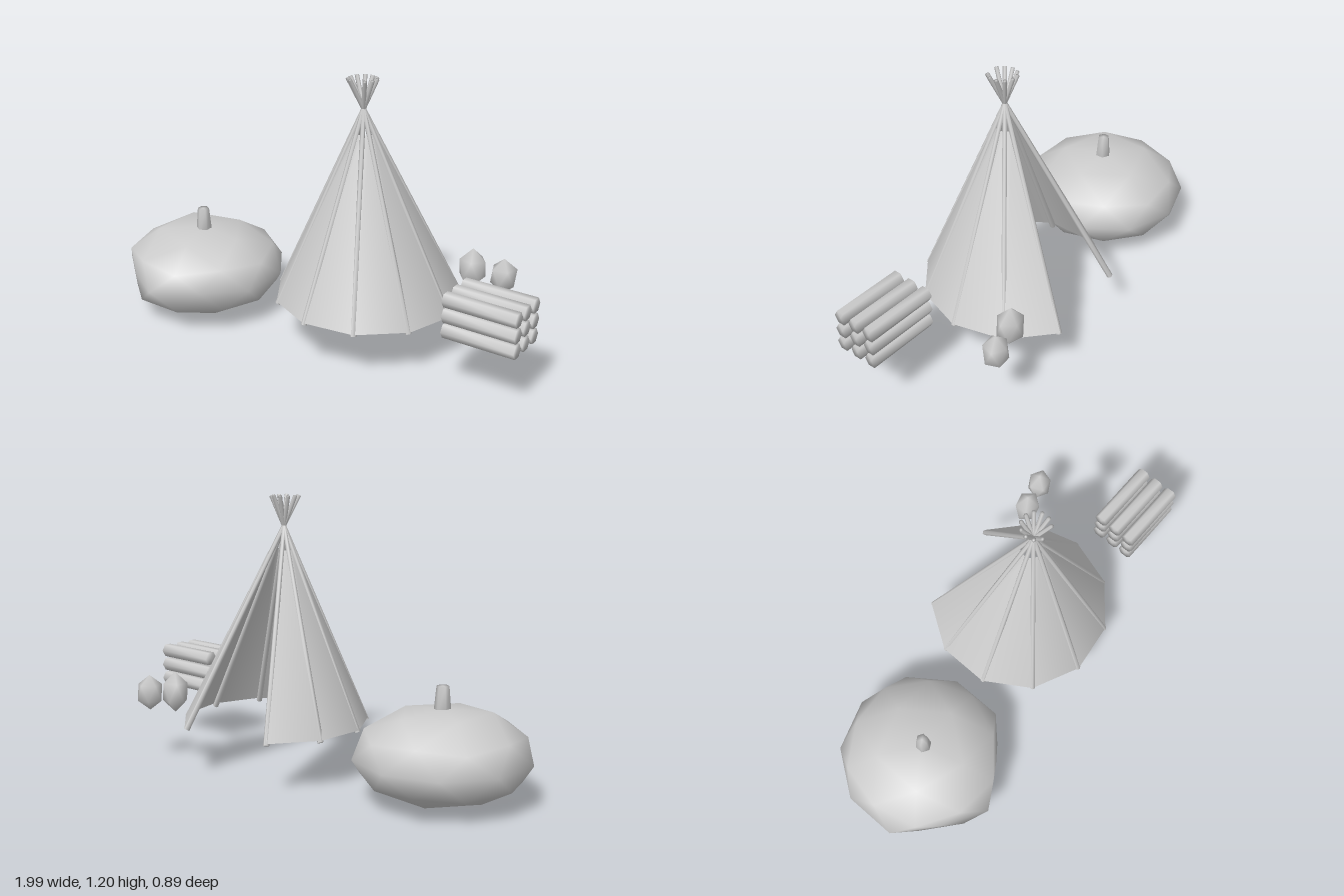
import * as THREE from 'three';
import { mergeVertices } from 'three/addons/utils/BufferGeometryUtils.js';

const clay = new THREE.MeshStandardMaterial({ color: 0xcccccc, side: THREE.DoubleSide });
clay.name = 'plain grey';

// Weld corners and average the normals for soft shading
function soften(geometry) {
  geometry.deleteAttribute('normal');
  geometry.deleteAttribute('uv');
  const welded = mergeVertices(geometry, 1e-4);
  welded.computeVertexNormals();
  return welded;
}

function part(parent, name, geometry, x = 0, y = 0, z = 0) {
  const mesh = new THREE.Mesh(geometry, clay);
  mesh.name = name;
  mesh.position.set(x, y, z);
  parent.add(mesh);
  return mesh;
}

function group(parent, name) {
  const g = new THREE.Group();
  g.name = name;
  parent.add(g);
  return g;
}

// Icosphere turned so that one corner points straight up
function poleUpBall(detail) {
  const geometry = new THREE.IcosahedronGeometry(1, detail);
  return geometry.rotateZ(-Math.atan(2 / (1 + Math.sqrt(5))));
}

// Straight tapered rod between two points
function rod(parent, name, from, to, rFrom, rTo, sides) {
  const along = to.clone().sub(from);
  const mesh = part(parent, name, soften(new THREE.CylinderGeometry(rTo, rFrom, along.length(), sides)));
  mesh.position.copy(from).addScaledVector(along, 0.5);
  mesh.quaternion.setFromUnitVectors(new THREE.Vector3(0, 1, 0), along.normalize());
  return mesh;
}

function buildPumpkin(root) {
  const pumpkin = group(root, 'pumpkin');
  const ball = poleUpBall(1);
  const p = ball.attributes.position;
  for (let i = 0; i < p.count; i++) {
    const v = new THREE.Vector3().fromBufferAttribute(p, i);
    // Flattened shoulders, and two dents low on the front
    if (v.y > 0.8 && v.y < 0.95) v.y = v.x < 0 ? 0.95 : 0.89;
    if (Math.abs(v.y) < 0.1 && v.z > 0.5 && v.z < 0.95) v.multiplyScalar(0.86);
    p.setXYZ(i, v.x * 0.373, v.y * 0.192, v.z * 0.38);
  }
  part(pumpkin, 'pumpkinBody', soften(ball), -0.64, 0.192, 0.062);
  part(pumpkin, 'pumpkinStem', soften(new THREE.CylinderGeometry(0.026, 0.037, 0.12, 6)), -0.63, 0.415, 0.067);
}

function buildTent(root) {
  const tent = group(root, 'tent');
  const apex = new THREE.Vector3(0.182, 1.07, -0.016);
  const corners = [];
  // Ten corners of an eleven-sided ring; the missing one is the doorway at the back
  for (let k = -2; k <= 7; k++) {
    const a = 0.012 + (k * Math.PI * 2) / 11;
    corners.push(new THREE.Vector3(0.183 + 0.412 * Math.cos(a), 0.22, -0.075 + 0.412 * Math.sin(a)));
  }

  // Cover
  const positions = [], index = [];
  corners.forEach((c, i) => {
    const top = c.clone().lerp(apex, 0.88);
    positions.push(...c.toArray(), ...top.toArray());
    if (i < corners.length - 1) {
      const b = i * 2;
      index.push(b, b + 1, b + 2, b + 2, b + 1, b + 3);
    }
  });
  const cover = new THREE.BufferGeometry();
  cover.setAttribute('position', new THREE.Float32BufferAttribute(positions, 3));
  cover.setIndex(index);
  cover.computeVertexNormals();
  part(tent, 'tentCover', cover);

  // Poles crossing at the apex
  for (const c of corners) {
    const foot = c.clone().lerp(apex, 0.02).setY(0.21);
    const tip = foot.clone().lerp(apex, 1.151);
    rod(tent, 'tentPole', foot, tip, 0.013, 0.009, 6);
  }
}

function buildLogs(root) {
  const pile = group(root, 'logPile');
  for (const y of [0.277, 0.344, 0.412]) {
    for (const z of [0.143, 0.066, -0.011]) {
      rod(pile, 'log', new THREE.Vector3(0.68, y, z), new THREE.Vector3(1, y, z), 0.033, 0.033, 6);
    }
  }
}

function buildStones(root) {
  const stones = group(root, 'stones');
  const first = part(stones, 'stone', soften(poleUpBall(0)), 0.547, 0.33, -0.34);
  first.scale.set(0.068, 0.092, 0.06);
  const second = part(stones, 'stone', soften(poleUpBall(0)), 0.68, 0.312, -0.378);
  second.scale.set(0.064, 0.08, 0.058);
  second.rotation.y = 0.4;
}

export function createModel() {
  const root = new THREE.Group();
  root.name = 'campsite';
  buildPumpkin(root);
  buildTent(root);
  buildLogs(root);
  buildStones(root);
  return root;
}
